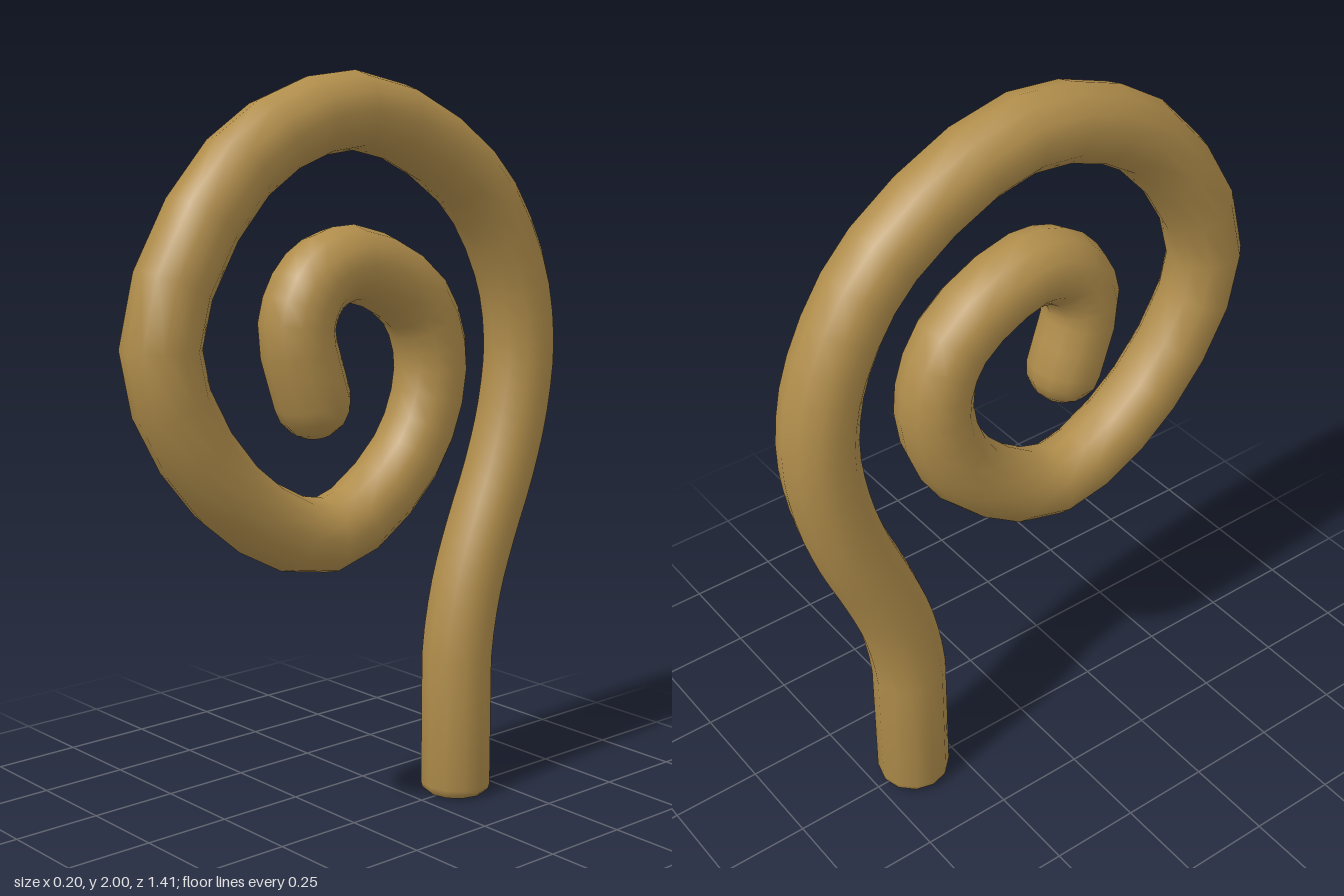
import * as THREE from 'three';
import { toCreasedNormals } from 'three/addons/utils/BufferGeometryUtils.js';

const RADIUS = 0.1;
const SIDES = 12;

// Sweeps a ring along stations { center, tangent, radius } lying in the YZ plane.
function sweep(stations) {
  const positions = [];
  const indices = [];
  const across = new THREE.Vector3(1, 0, 0);
  for (const { center, tangent, radius } of stations) {
    const normal = tangent.clone().cross(across);
    for (let j = 0; j < SIDES; j++) {
      const angle = (j / SIDES) * Math.PI * 2;
      const p = center.clone()
        .addScaledVector(across, Math.cos(angle) * radius)
        .addScaledVector(normal, Math.sin(angle) * radius);
      positions.push(p.x, p.y, p.z);
    }
  }
  const last = stations.length - 2;
  for (let i = 0; i <= last; i++) {
    for (let j = 0; j < SIDES; j++) {
      const a = i * SIDES + j;
      const b = i * SIDES + (j + 1) % SIDES;
      if (i > 0) indices.push(a, b, a + SIDES);
      if (i < last) indices.push(b, b + SIDES, a + SIDES);
    }
  }
  const geometry = new THREE.BufferGeometry();
  geometry.setAttribute('position', new THREE.Float32BufferAttribute(positions, 3));
  geometry.setIndex(indices);
  return toCreasedNormals(geometry, 0.75);
}

export function createModel() {
  const group = new THREE.Group();
  group.name = 'spiralHook';
  const brass = new THREE.MeshStandardMaterial({ color: 0xb08d4b });
  brass.name = 'brass';

  // Centre line as [z, y]: stem, outer turn, inner turn, tip
  const path = [
    [-0.38, 0.03], [-0.38, 0.4], [-0.413, 0.59], [-0.465, 0.74], [-0.535, 0.91],
    [-0.585, 1.08], [-0.605, 1.27], [-0.56, 1.48], [-0.395, 1.72], [0, 1.9],
    [0.37, 1.77], [0.607, 1.35], [0.42, 0.98], [0.1, 0.817], [-0.18, 0.99],
    [-0.27, 1.22], [-0.21, 1.4], [0.01, 1.515], [0.13, 1.48], [0.19, 1.37], [0.14, 1.176],
  ];
  const curve = new THREE.CatmullRomCurve3(path.map(([z, y]) => new THREE.Vector3(0, y, z)));

  const stations = [];
  const up = new THREE.Vector3(0, 1, 0);

  // Flat foot with a small rounded edge
  const fillet = 0.03;
  const foot = (y, radius) =>
    stations.push({ center: new THREE.Vector3(0, y, -0.38), tangent: up, radius });
  foot(0, 0);
  for (let k = 0; k < 3; k++) {
    const a = (k / 3) * Math.PI / 2;
    foot(fillet * (1 - Math.cos(a)), RADIUS - fillet * (1 - Math.sin(a)));
  }

  // Stem and spiral
  const steps = (path.length - 1) * 3;
  for (let i = 0; i <= steps; i++) {
    if (i === 1 || i === 2) continue; // the stem is straight
    const t = i / steps;
    stations.push({
      center: curve.getPoint(t),
      tangent: i === 0 ? up : curve.getTangent(t),
      radius: RADIUS,
    });
  }

  // Domed tip
  const end = stations[stations.length - 1];
  for (let k = 1; k <= 4; k++) {
    const a = (k / 4) * Math.PI / 2;
    stations.push({
      center: end.center.clone().addScaledVector(end.tangent, RADIUS * Math.sin(a)),
      tangent: end.tangent,
      radius: k === 4 ? 0 : RADIUS * Math.cos(a),
    });
  }

  const rod = new THREE.Mesh(sweep(stations), brass);
  rod.name = 'spiralRod';
  group.add(rod);
  return group;
}
